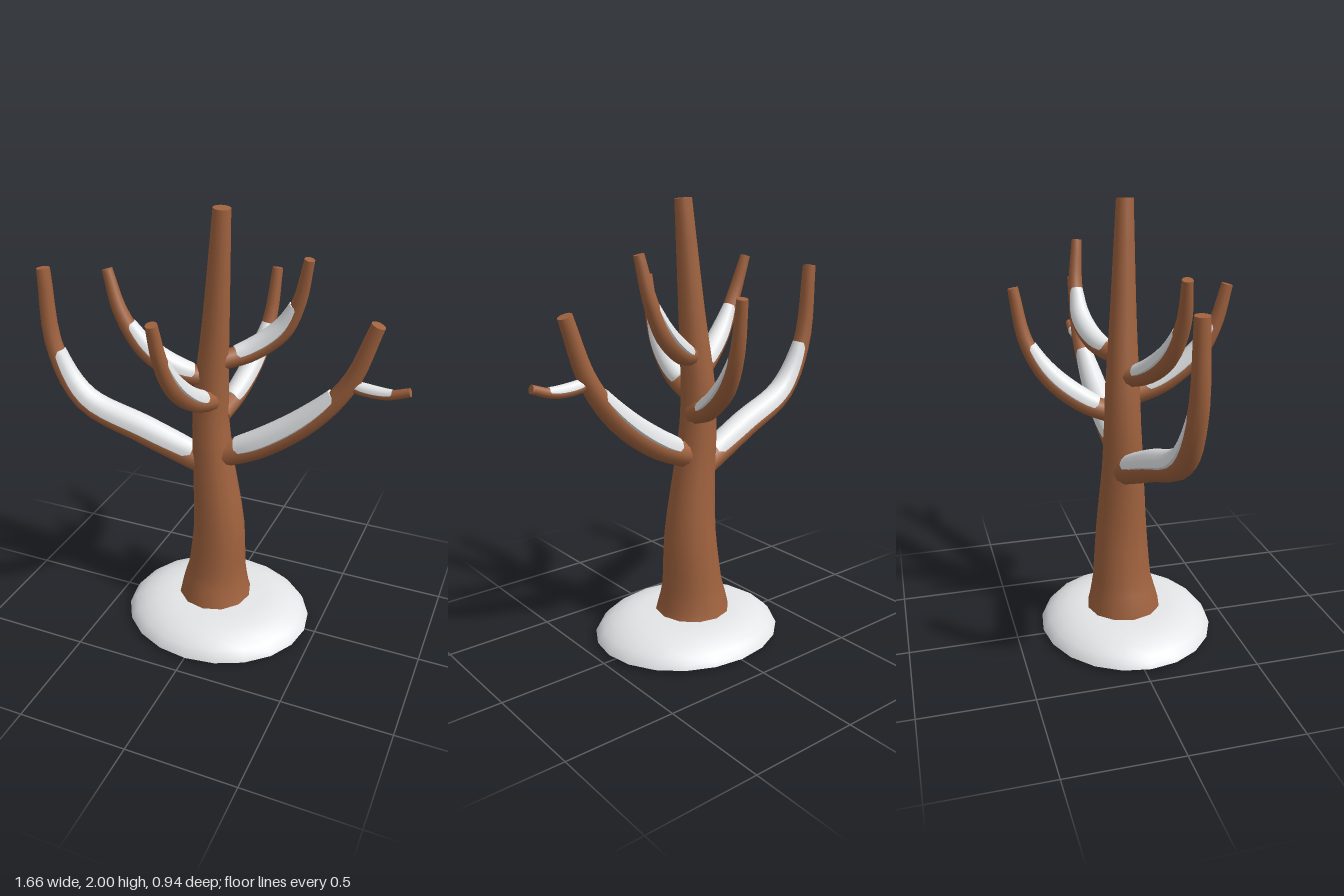
import * as THREE from 'three';

const V = (p) => new THREE.Vector3(...p);

// Lofts a closed section along a path; section(v, r) gives [side, up] points, counter-clockwise.
function loft(points, radii, [from, to], steps, section) {
  const curve = new THREE.CatmullRomCurve3(points.map(V));
  const radius = (t) => {
    const f = t * (radii.length - 1);
    const i = Math.min(Math.floor(f), radii.length - 2);
    return THREE.MathUtils.lerp(radii[i], radii[i + 1], f - i);
  };
  // Steady side direction, square to the way the path leans
  const out = V(points[points.length - 1]).sub(V(points[0])).setY(0).normalize();
  const across = new THREE.Vector3(0, 1, 0).cross(out);
  const pos = [];
  const index = [];
  let n = 0;
  for (let i = 0; i <= steps; i++) {
    const v = i / steps;
    const t = from + (to - from) * v;
    const c = curve.getPoint(t);
    const tan = curve.getTangent(t);
    const side = across.clone().addScaledVector(tan, -tan.dot(across)).normalize();
    const up = tan.clone().cross(side);
    const ring = section(v, radius(t));
    n = ring.length;
    for (const [a, b] of ring) {
      pos.push(...c.clone().addScaledVector(side, a).addScaledVector(up, b).toArray());
    }
  }
  for (let i = 0; i < steps; i++) {
    for (let j = 0; j < n; j++) {
      const a = i * n + j;
      const b = i * n + (j + 1) % n;
      index.push(a, b, a + n, b, b + n, a + n);
    }
  }
  // Flat end caps with their own vertices
  for (const [row, flip] of [[0, true], [steps, false]]) {
    const base = pos.length / 3;
    pos.push(...pos.slice(row * n * 3, (row + 1) * n * 3));
    for (let j = 1; j < n - 1; j++) {
      index.push(base, base + (flip ? j + 1 : j), base + (flip ? j : j + 1));
    }
  }
  const g = new THREE.BufferGeometry();
  g.setAttribute('position', new THREE.Float32BufferAttribute(pos, 3));
  g.setIndex(index);
  g.computeVertexNormals();
  return g;
}

const circle = (sides) => (v, r) => Array.from({ length: sides }, (_, j) => {
  const a = (j / sides) * Math.PI * 2;
  return [Math.cos(a) * r, Math.sin(a) * r];
});

// Snow section: a dome over the branch with a lip that slopes in underneath
function snowSection(v, r) {
  const k = 0.78 + 0.4 * Math.pow(Math.sin(Math.PI * (0.04 + 0.92 * v)), 0.6);
  const dome = [];
  for (let j = 0; j <= 8; j++) {
    const a = (j / 8) * Math.PI;
    dome.push([Math.cos(a) * r * k, (0.2 + Math.sin(a) * 1.1) * r * k]);
  }
  // Corners are doubled so the edge stays sharp
  return [...dome, dome[8], [-0.65 * r, -0.15 * r], [0.65 * r, -0.15 * r], dome[0]];
}

export function createModel() {
  const bark = new THREE.MeshStandardMaterial({ color: 0xa0623e });
  bark.name = 'bark brown';
  const snow = new THREE.MeshStandardMaterial({ color: 0xe4e6e8 });
  snow.name = 'snow white';
  const model = new THREE.Group();
  model.name = 'snowyTree';
  const add = (name, geometry, material, parent = model) => {
    const mesh = new THREE.Mesh(geometry, material);
    mesh.name = name;
    parent.add(mesh);
    return mesh;
  };

  // Trunk, gently bowed, with a slanting cut at the foot
  const trunk = loft(
    [[-0.005, 0.01, 0.01], [-0.012, 0.12, 0.01], [-0.005, 0.26, 0.005], [0.005, 0.5, 0.005], [-0.02, 0.8, 0.005],
      [-0.037, 1.02, 0], [-0.034, 1.2, 0], [-0.008, 1.52, 0.01], [0.025, 2, 0.026]],
    [0.205, 0.173, 0.14, 0.121, 0.097, 0.085, 0.078, 0.059, 0.038], [0, 1], 24, circle(12));
  const p = trunk.attributes.position;
  for (let i = 0; i < p.count; i++) {
    if (p.getY(i) < 0.045) p.setY(i, 0.015 - 0.075 * p.getX(i));
  }
  trunk.computeVertexNormals();
  add('trunk', trunk, bark);

  // A branch tapers from first to last radius; snow lies on its upper side over the given span
  const addBranch = (name, radii, snowSpan, ...path) => {
    const group = new THREE.Group();
    group.name = name;
    model.add(group);
    add('branchWood', loft(path, radii, [0, 1], 18, circle(10)), bark, group);
    add('branchSnow', loft(path, radii, snowSpan, 14, snowSection), snow, group);
  };
  addBranch('lowerRightBranch', [0.064, 0.05, 0.031], [0.07, 0.74],
    [-0.05, 0.81, 0], [-0.35, 0.93, 0.045], [-0.64, 1.06, 0.08], [-0.77, 1.3, 0.085], [-0.8, 1.67, 0.08]);
  addBranch('lowerLeftBranch', [0.062, 0.049, 0.032], [0.12, 0.66],
    [0, 0.87, 0.005], [0.2, 0.95, -0.01], [0.42, 1.11, -0.035], [0.57, 1.3, -0.055], [0.67, 1.57, -0.06]);
  addBranch('twig', [0.026, 0.019], [0.15, 0.75],
    [0.55, 1.3, -0.05], [0.63, 1.277, -0.055], [0.73, 1.275, -0.055], [0.825, 1.305, -0.052]);
  addBranch('upperRightBranch', [0.048, 0.041, 0.023], [0.15, 0.68],
    [-0.04, 1.25, 0], [-0.15, 1.28, 0.07], [-0.28, 1.38, 0.13], [-0.38, 1.55, 0.157], [-0.44, 1.73, 0.148]);
  addBranch('upperLeftBranch', [0.045, 0.04, 0.023], [0.13, 0.73],
    [0, 1.33, 0], [0.12, 1.36, -0.08], [0.24, 1.45, -0.125], [0.31, 1.59, -0.128], [0.355, 1.79, -0.11]);
  addBranch('frontBranch', [0.048, 0.039, 0.025], [0.13, 0.74],
    [-0.02, 1.15, 0.03], [-0.04, 1.21, 0.19], [-0.065, 1.33, 0.33], [-0.08, 1.47, 0.405], [-0.09, 1.64, 0.45]);
  addBranch('backBranch', [0.05, 0.04, 0.024], [0.15, 0.72],
    [0, 1.07, -0.02], [0.03, 1.12, -0.16], [0.065, 1.24, -0.31], [0.09, 1.4, -0.4], [0.105, 1.63, -0.445]);

  // Snow mound around the foot
  const profile = [[1, 0], [0.975, 0.02], [0.92, 0.045], [0.82, 0.072], [0.68, 0.093], [0.5, 0.104], [0, 0.107]]
    .map(([x, y]) => new THREE.Vector2(x, y));
  const mound = add('snowMound', new THREE.LatheGeometry(profile, 20), snow);
  const under = add('snowMoundUnderside', new THREE.CircleGeometry(1, 20).rotateX(Math.PI / 2), snow);
  for (const m of [mound, under]) {
    m.position.set(0.01, 0.015, 0.025);
    m.scale.set(0.445, 1, 0.4);
  }
  return model;
}
